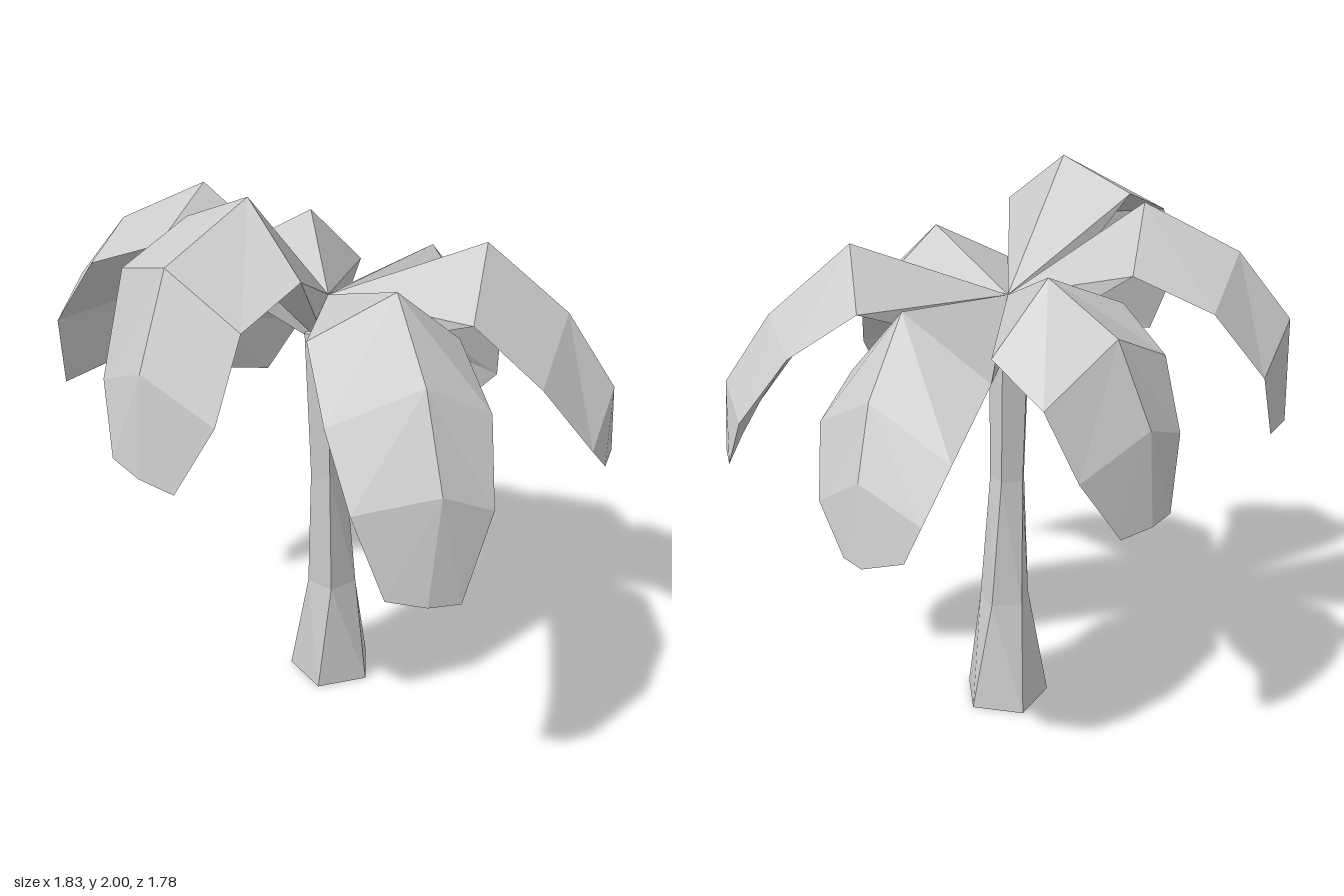
import * as THREE from 'three';

const material = new THREE.MeshStandardMaterial({ color: 0xcccccc, flatShading: true, side: THREE.DoubleSide });

// Faceted mesh from a list of corner points, three per triangle
function facetMesh(name, corners) {
  const geometry = new THREE.BufferGeometry();
  geometry.setAttribute('position', new THREE.Float32BufferAttribute(corners.flat(), 3));
  geometry.computeVertexNormals();
  const mesh = new THREE.Mesh(geometry, material);
  mesh.name = name;
  return mesh;
}

// Drooping frond: three rails (right edge, ridge, left edge) starting at the crown
function frond(name, right, ridge, left) {
  const under = [0, 1.38, 0], crown = [0, 1.58, 0];
  const rails = [[under, ...right], [crown, ...ridge], [under, ...left]];
  const out = [];
  for (let j = 0; j < 4; j++) {
    for (let i = 0; i < 3; i++) {
      const p = rails[i], q = rails[(i + 1) % 3];
      if (i === 0) out.push(p[j], p[j + 1], q[j], p[j + 1], q[j + 1], q[j]);
      else out.push(p[j], p[j + 1], q[j + 1], p[j], q[j + 1], q[j]);
    }
  }
  out.push(rails[0][4], rails[2][4], rails[1][4]); // blunt tip
  return facetMesh(name, out);
}

// Trunk: five-sided rings, [height, centre x, centre z, radius, twist]
function trunk() {
  const sides = 5;
  const rings = [
    [0, -0.01, -0.045, 0.165, 0.25],
    [0.42, -0.005, -0.035, 0.095, 0.55],
    [0.9, -0.005, -0.005, 0.067, 0.7],
    [1.45, -0.01, 0.005, 0.077, 0.7],
  ].map(([y, x, z, r, twist]) => Array.from({ length: sides }, (_, i) => {
    const a = twist + (i / sides) * Math.PI * 2;
    return [x + r * Math.sin(a), y, z + r * Math.cos(a)];
  }));
  const out = [];
  for (let i = 0; i < sides; i++) {
    const k = (i + 1) % sides;
    for (let j = 0; j < rings.length - 1; j++) {
      const a = rings[j], b = rings[j + 1];
      out.push(a[i], a[k], b[i], a[k], b[k], b[i]);
    }
    out.push([-0.01, 0, -0.045], rings[0][k], rings[0][i]);
    out.push([-0.01, 1.45, 0.005], rings[3][i], rings[3][k]);
  }
  return facetMesh('trunk', out);
}

export function createModel() {
  const group = new THREE.Group();
  group.name = 'palmTree';
  group.add(
    trunk(),
    frond('frontFrond',
      [[-0.3, 1.89, 0.36], [-0.33, 1.79, 0.64], [-0.32, 1.47, 0.77], [-0.22, 1.26, 0.86]],
      [[-0.03, 2, 0.39], [-0.08, 1.86, 0.725], [-0.09, 1.57, 0.85], [-0.09, 1.24, 0.89]],
      [[0.235, 1.81, 0.49], [0.18, 1.71, 0.71], [0.16, 1.45, 0.82], [0.04, 1.22, 0.88]]),
    frond('rightFrond',
      [[-0.5, 1.73, -0.13], [-0.75, 1.62, -0.06], [-0.9, 1.4, 0.04], [-0.91, 1.17, 0.15]],
      [[-0.45, 1.92, 0.09], [-0.75, 1.77, 0.18], [-0.92, 1.55, 0.24], [-0.92, 1.17, 0.3]],
      [[-0.41, 1.78, 0.385], [-0.66, 1.69, 0.445], [-0.82, 1.46, 0.475], [-0.86, 1.2, 0.43]]),
    frond('backRightFrond',
      [[-0.2, 1.53, -0.52], [-0.41, 1.42, -0.595], [-0.52, 1.2, -0.575], [-0.62, 0.99, -0.47]],
      [[-0.3, 1.75, -0.33], [-0.55, 1.6, -0.37], [-0.67, 1.33, -0.38], [-0.69, 1.01, -0.38]],
      [[-0.47, 1.64, -0.125], [-0.63, 1.5, -0.16], [-0.71, 1.27, -0.215], [-0.72, 1.03, -0.3]]),
    frond('backFrond',
      [[0.32, 1.41, -0.5], [0.335, 1.29, -0.67], [0.28, 1.07, -0.78], [0.15, 0.93, -0.85]],
      [[0.11, 1.64, -0.52], [0.11, 1.41, -0.73], [0.09, 1.19, -0.84], [0.06, 0.93, -0.89]],
      [[-0.2, 1.45, -0.52], [-0.19, 1.27, -0.76], [-0.14, 1.1, -0.86], [-0.09, 0.98, -0.885]]),
    frond('backLeftFrond',
      [[0.55, 1.58, -0.01], [0.76, 1.37, -0.115], [0.9, 1.13, -0.25], [0.91, 1.03, -0.36]],
      [[0.45, 1.77, -0.28], [0.7, 1.53, -0.42], [0.87, 1.28, -0.47], [0.88, 1.03, -0.49]],
      [[0.29, 1.6, -0.5], [0.5, 1.45, -0.6], [0.67, 1.22, -0.66], [0.78, 1.03, -0.6]]),
    frond('frontLeftFrond',
      [[0.21, 1.6, 0.43], [0.41, 1.44, 0.63], [0.56, 1.24, 0.72], [0.67, 0.98, 0.7]],
      [[0.41, 1.74, 0.235], [0.62, 1.54, 0.41], [0.76, 1.28, 0.54], [0.77, 0.95, 0.62]],
      [[0.53, 1.55, 0.04], [0.75, 1.42, 0.23], [0.85, 1.19, 0.38], [0.83, 0.93, 0.52]]),
  );
  return group;
}
